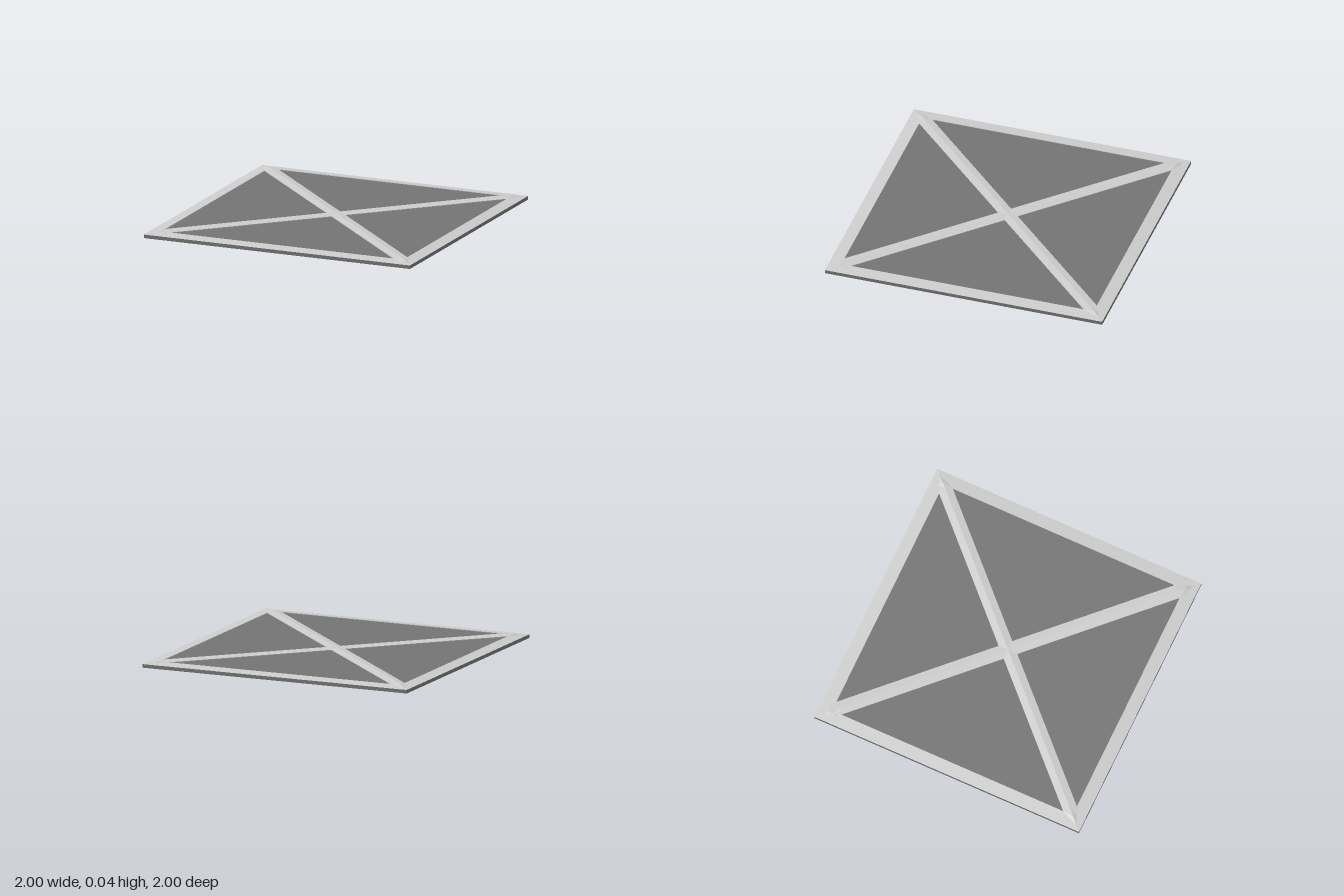
import * as THREE from 'three';

const light = new THREE.MeshStandardMaterial({ color: 0xcccccc, flatShading: true });
const dark = new THREE.MeshStandardMaterial({ color: 0x737373, flatShading: true });
const INNER = 0.91; // half width of the opening inside the frame

function addMesh(group, name, geometry, material) {
  const mesh = new THREE.Mesh(geometry, material);
  mesh.name = name;
  group.add(mesh);
  return mesh;
}

// Ridged bar along x, tapering to a low point at both ends
function braceGeometry() {
  // station on the diagonal, half width, edge height, ridge height
  const half = [[0.875, 0.05, 0.035, 0.042], [0.92, 0.027, 0.0325, 0.042], [0.96, 0, 0.029, 0.029]];
  const stations = [...half.map(([s, ...rest]) => [-s, ...rest]).reverse(), ...half];
  const positions = [];
  const index = [];
  for (const [s, w, edge, ridge] of stations) {
    const x = s * Math.SQRT2;
    for (const [z, y] of [[w, 0.027], [w, edge], [0, ridge], [-w, edge], [-w, 0.027]]) positions.push(x, y, z);
  }
  for (let i = 0; i < stations.length - 1; i++) {
    for (let j = 0; j < 4; j++) {
      const a = i * 5 + j, b = a + 5;
      index.push(a, b, b + 1, a, b + 1, a + 1);
    }
  }
  const geometry = new THREE.BufferGeometry();
  geometry.setAttribute('position', new THREE.Float32BufferAttribute(positions, 3));
  geometry.setIndex(index);
  geometry.computeVertexNormals();
  return geometry;
}

export function createModel() {
  const model = new THREE.Group();
  model.name = 'bracedPanel';

  // Dark slab and the slightly raised field inside the frame
  addMesh(model, 'base', new THREE.BoxGeometry(2, 0.025, 2), dark).position.y = 0.0125;
  addMesh(model, 'panel', new THREE.BoxGeometry(2 * INNER, 0.011, 2 * INNER), dark).position.y = 0.0255;

  // Mitred frame: four strips sloping up towards the middle
  const profile = [[1, 0.025], [INNER, 0.035], [INNER, 0.03]]
    .map(([r, y]) => new THREE.Vector2(r * Math.SQRT2, y));
  addMesh(model, 'frame', new THREE.LatheGeometry(profile, 4, Math.PI / 4), light);

  // Crossed diagonal braces
  const brace = braceGeometry();
  for (const side of [-1, 1]) {
    addMesh(model, side < 0 ? 'braceLeft' : 'braceRight', brace, light).rotation.y = side * Math.PI / 4;
  }
  return model;
}
